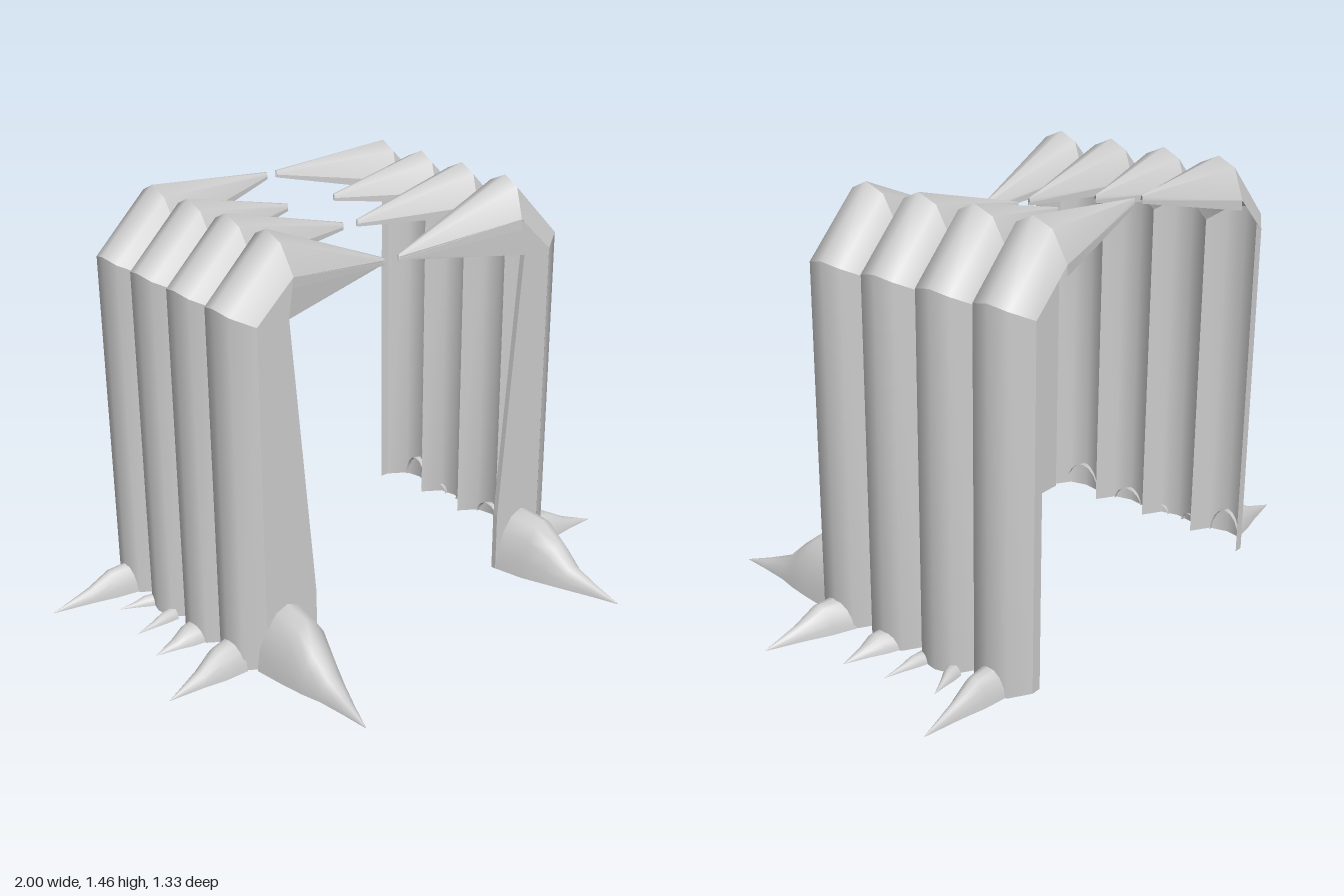
import * as THREE from 'three';

const material = new THREE.MeshStandardMaterial({ color: 0xcccccc, side: THREE.DoubleSide });
const HALF = 0.1085; // half the width of one rib

// Smooth skin stretched over rows of points; s = -1 mirrors it in x
function skin(name, rows, s) {
  const n = rows[0].length;
  const index = [];
  for (let i = 0; i < rows.length - 1; i++) {
    for (let j = 0; j < n - 1; j++) {
      const a = i * n + j, b = a + 1, c = a + n, d = c + 1;
      if (s > 0) index.push(a, c, b, b, c, d);
      else index.push(a, b, c, b, d, c);
    }
  }
  const geo = new THREE.BufferGeometry();
  const flat = rows.flat().map(([x, y, z]) => [x * s, y, z]).flat();
  geo.setAttribute('position', new THREE.Float32BufferAttribute(flat, 3));
  geo.setIndex(index);
  geo.computeVertexNormals();
  const mesh = new THREE.Mesh(geo, material);
  mesh.name = name;
  return mesh;
}

// Five-point cross-section: z offset, wall x, wall top y, ridge x, ridge y
const section = [
  [1, 0.62, 1.2, 0.48, 1.33],
  [0.6, 0.69, 1.235, 0.495, 1.43],
  [0, 0.705, 1.25, 0.5, 1.46],
  [-0.6, 0.69, 1.235, 0.495, 1.43],
  [-1, 0.62, 1.2, 0.48, 1.33],
];

// One rib: scalloped pillar, sloping shoulder and a pointed blade reaching inward
function rib(zc, tip, s) {
  const g = new THREE.Group();
  g.name = 'rib';
  const z = (o) => zc + o * HALF;
  const base = section.map(([o, x]) => [x, 0, z(o)]);
  const top = section.map(([o, x, y]) => [x, y, z(o)]);
  const ridge = section.map(([o, , , x, y]) => [x, y, z(o)]);
  const point = section.map(([o, , , , y]) => [tip[0], tip[1] + (y - 1.46) * 0.12, tip[2] + o * 0.004]);
  g.add(skin('pillar', [base, top], s));
  g.add(skin('shoulder', [top, ridge], s));
  g.add(skin('blade', [ridge, point], s));
  // thin lips below the blade edges
  for (const k of [0, 4]) {
    const edge = [ridge[k], point[k]];
    g.add(skin('bladeLip', [edge, edge.map(([x, y, zz], i) => [x, y - (i ? 0.01 : 0.035), zz])], s));
  }
  return g;
}

// Claw: arched sections [centre x, centre z, half width, height] running to a point
function claw(name, sections, alongX, s) {
  const rows = sections.map(([x, z, w, h]) => {
    const row = [];
    for (let i = 0; i <= 8; i++) {
      const a = (i / 8) * Math.PI;
      const off = Math.cos(a) * w, y = h * Math.pow(Math.sin(a), 1.15);
      row.push(alongX ? [x, y, z + off] : [x + off, y, z]);
    }
    return row;
  });
  return skin(name, rows, s);
}

// Ribs from front to back: centre z and blade tip
const ribs = [
  [0.092, [0.03, 1.27, 0.085]],
  [-0.124, [0.03, 1.34, -0.13]],
  [-0.341, [0.1, 1.37, -0.345]],
  [-0.557, [0.02, 1.42, -0.575]],
];

// Outer claws: z, half width, height, tip x, tip z
const outerClaws = [
  [0.095, 0.075, 0.095, 0.97, 0.15],
  [-0.124, 0.06, 0.055, 0.865, -0.1],
  [-0.28, 0.03, 0.032, 0.845, -0.255],
  [-0.4, 0.03, 0.032, 0.81, -0.435],
  [-0.557, 0.06, 0.095, 1.0, -0.56],
];

function side(name, s) {
  const g = new THREE.Group();
  g.name = name;
  for (const [z, tip] of ribs) g.add(rib(z, tip, s));

  // flat front panel with a slanted inner edge
  const outline = [[0.62, 0], [0.62, 1.2], [0.48, 1.33], [0.5, 1.2], [0.415, 0.22], [0.415, 0]];
  const shape = new THREE.Shape(outline.map(([x, y]) => new THREE.Vector2(x * s, y)));
  const panel = new THREE.Mesh(
    new THREE.ExtrudeGeometry(shape, { depth: 0.02, bevelEnabled: false }), material);
  panel.position.z = 0.18;
  panel.name = 'frontPanel';
  g.add(panel);

  // deep outer cheek of the front blade
  g.add(skin('frontCheek', [
    [[0.48, 1.33, 0.2], [0.03, 1.262, 0.089]],
    [[0.5, 1.2, 0.2], [0.03, 1.25, 0.087]],
  ], s));

  // narrow return at the back end
  g.add(skin('backReturn', [
    [[0.62, 0, -0.6655], [0.62, 1.2, -0.6655]],
    [[0.585, 0, -0.6655], [0.585, 1.23, -0.6655]],
  ], s));

  // large front claw
  g.add(claw('frontClaw', [
    [0.535, 0.19, 0.12, 0.215],
    [0.54, 0.31, 0.098, 0.205],
    [0.548, 0.39, 0.075, 0.14],
    [0.552, 0.46, 0.052, 0.075],
    [0.565, 0.56, 0.025, 0.035],
    [0.578, 0.66, 0.001, 0.001],
  ], false, s));

  // small outer claws
  for (const [z, w, h, tx, tz] of outerClaws) {
    const at = (t, kw, kh) => [0.68 + (tx - 0.68) * t, z + (tz - z) * t, w * kw, h * kh];
    g.add(claw('outerClaw', [at(0, 1, 1), at(0.28, 0.8, 0.95), at(0.55, 0.46, 0.5), at(1, 0.01, 0.01)], true, s));
  }
  return g;
}

export function createModel() {
  const model = new THREE.Group();
  model.name = 'clawedRibArcade';
  model.add(side('leftSide', 1), side('rightSide', -1));
  return model;
}
